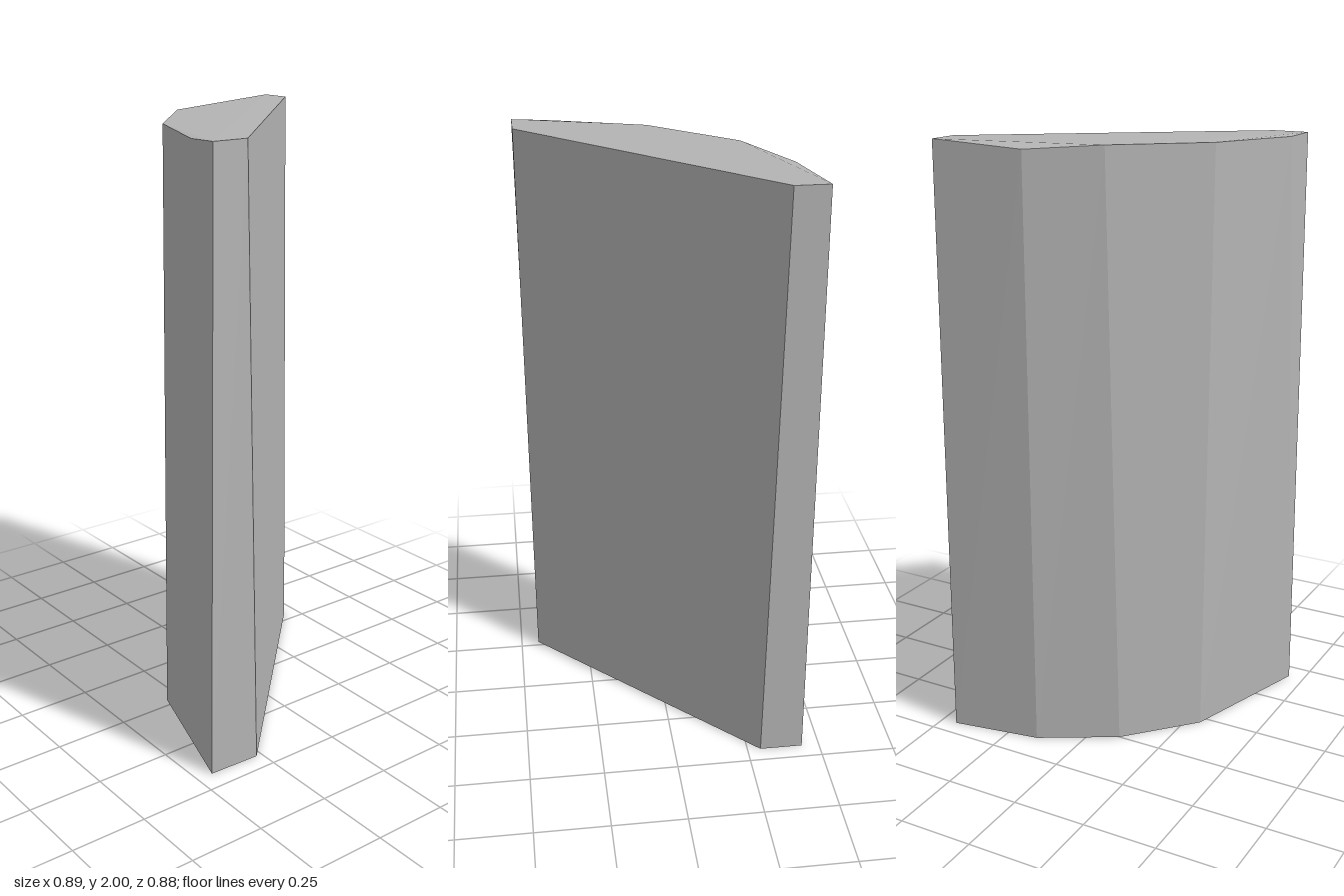
import * as THREE from 'three';

// Matching bottom and top outlines, counter-clockwise seen from above: [x, y, z]
const bottom = [
  [-0.445, 0, 0.43], [-0.27, 0, 0.437], [0.445, 0, -0.295], [0.445, 0, -0.44],
  [0.145, 0, -0.39], [-0.1, 0, -0.25], [-0.3, 0, -0.03], [-0.445, 0, 0.43],
];
const top = [
  [-0.43, 1.985, 0.437], [-0.31, 1.985, 0.437], [0.445, 2, -0.32], [0.445, 2, -0.43],
  [0.15, 1.98, -0.39], [-0.06, 1.991, -0.26], [-0.3, 1.986, 0.005], [-0.42, 1.981, 0.32],
];

function facetedMesh(name, triangles, material) {
  const geometry = new THREE.BufferGeometry();
  geometry.setAttribute('position', new THREE.Float32BufferAttribute(triangles.flat(2), 3));
  geometry.computeVertexNormals();
  const mesh = new THREE.Mesh(geometry, material);
  mesh.name = name;
  return mesh;
}

export function createModel() {
  const stone = new THREE.MeshStandardMaterial({ color: 0xb4b4b4, flatShading: true });
  stone.name = 'stoneGrey';
  const group = new THREE.Group();
  group.name = 'stoneSlab';

  // Tapering side walls; the last bottom point repeats the first, leaving one triangle there
  const n = top.length;
  const walls = [];
  for (let i = 0; i < n; i++) {
    const j = (i + 1) % n;
    if (i < n - 1) walls.push([bottom[i], bottom[j], top[j]]);
    walls.push([bottom[i], top[j], top[i]]);
  }
  group.add(facetedMesh('sideWalls', walls, stone));

  // Sloping top with two chipped corners folded down
  const main = [0, 1, 2, 3, 5, 6].map((i) => top[i]);
  const cap = [[top[3], top[4], top[5]], [top[6], top[7], top[0]]];
  for (let i = 1; i < main.length - 1; i++) cap.push([main[0], main[i], main[i + 1]]);
  group.add(facetedMesh('topFace', cap, stone));

  // Flat underside
  const base = [];
  for (let i = 1; i < n - 2; i++) base.push([bottom[0], bottom[i + 1], bottom[i]]);
  group.add(facetedMesh('underside', base, stone));

  return group;
}
